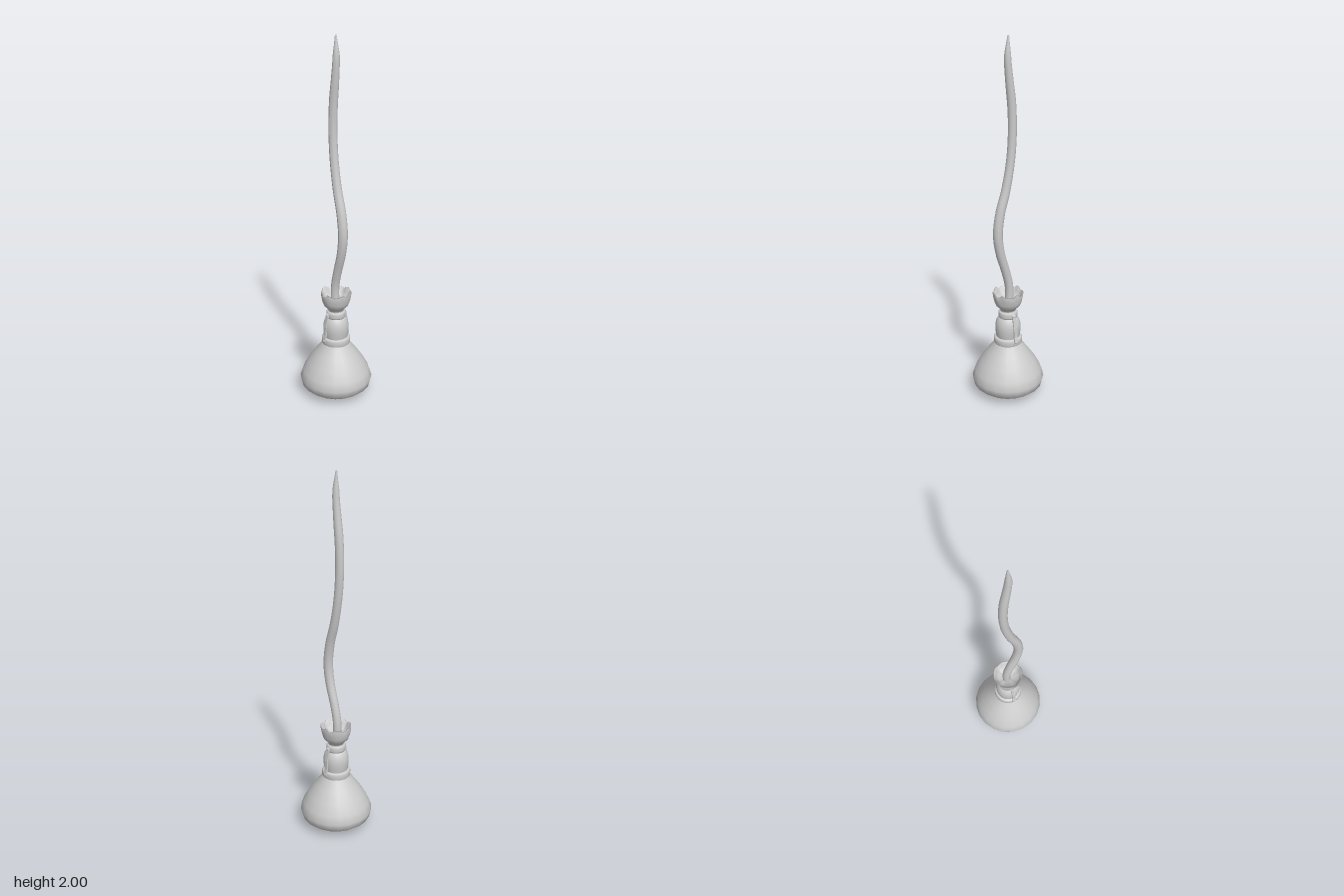
import * as THREE from 'three';

const material = new THREE.MeshStandardMaterial({ color: 0xcccccc, side: THREE.DoubleSide });
const CENTRE = -0.004;

function addMesh(parent, name, geometry) {
  const mesh = new THREE.Mesh(geometry, material);
  mesh.name = name;
  parent.add(mesh);
  return mesh;
}

function lathe(points, sides) {
  return new THREE.LatheGeometry(points.map(([r, y]) => new THREE.Vector2(r, y)), sides);
}

// Round handle swept along a wavy line, narrowing to a blunt tip
function handleGeometry() {
  const path = new THREE.CatmullRomCurve3([
    [-0.008, 0.5], [-0.012, 0.64], [0.014, 0.75], [0.045, 0.85], [0.06, 0.96], [0.045, 1.08],
    [0.01, 1.2], [-0.019, 1.35], [-0.031, 1.5], [-0.027, 1.65], [-0.012, 1.78], [-0.002, 1.89], [-0.006, 2],
  ].map(([x, y]) => new THREE.Vector3(x, y, 0)));
  const steps = 48, sides = 12;
  const geometry = new THREE.TubeGeometry(path, steps, 1, sides);
  const position = geometry.attributes.position;
  const v = new THREE.Vector3();
  for (let i = 0; i <= steps; i++) {
    const centre = path.getPointAt(i / steps);
    const y = centre.y;
    let radius = 0.023 + 0.003 * Math.exp(-(((y - 1) / 0.2) ** 2));
    if (y > 1.7) radius = THREE.MathUtils.lerp(0.023, 0.018, Math.min(1, (y - 1.7) / 0.2));
    if (y > 1.9) radius = THREE.MathUtils.lerp(0.018, 0.004, (y - 1.9) / 0.1);
    for (let j = 0; j <= sides; j++) {
      const k = i * (sides + 1) + j;
      v.fromBufferAttribute(position, k).sub(centre).multiplyScalar(radius).add(centre);
      position.setXYZ(k, v.x, v.y, v.z);
    }
  }
  geometry.computeVertexNormals();
  return geometry;
}

// Flared cup of bristle ends with a ragged rim
function cupGeometry() {
  const geometry = lathe([
    [0.042, 0.51], [0.05, 0.523], [0.067, 0.54], [0.075, 0.56], [0.08, 0.585], [0.084, 0.612],
    [0.079, 0.615], [0.07, 0.592], [0.055, 0.572], [0.02, 0.56], [0, 0.558],
  ], 36);
  const position = geometry.attributes.position;
  for (let i = 0; i < position.count; i++) {
    const x = position.getX(i), y = position.getY(i), z = position.getZ(i);
    const a = Math.atan2(z, x);
    const amount = THREE.MathUtils.smoothstep(y, 0.555, 0.612);
    const wave = Math.sin(5 * a + 0.6) + 0.6 * Math.sin(9 * a + 2);
    const scale = 1 + amount * 0.025 * wave;
    position.setXYZ(i, x * scale, y + amount * (0.006 * Math.sin(7 * a) + 0.004 * Math.sin(11 * a + 1)), z * scale);
  }
  geometry.computeVertexNormals();
  return geometry;
}

// Thin bent strap, drawn side-on and extruded across its width
function strapGeometry() {
  const outer = [[0.052, 0.497], [0.062, 0.485], [0.067, 0.46], [0.075, 0.42], [0.077, 0.37], [0.083, 0.345], [0.081, 0.325]];
  const inner = outer.map(([r, y]) => [r - 0.009, y]).reverse();
  const shape = new THREE.Shape([...outer, ...inner].map(([r, y]) => new THREE.Vector2(r, y)));
  const geometry = new THREE.ExtrudeGeometry(shape, { depth: 0.02, bevelEnabled: false });
  return geometry.translate(0, 0, -0.01).rotateY(-Math.PI / 2);
}

export function createModel() {
  const model = new THREE.Group();
  model.name = 'broom';

  addMesh(model, 'handle', handleGeometry());

  const head = new THREE.Group();
  head.name = 'head';
  head.position.x = CENTRE;
  model.add(head);

  // Bristle bundle with a rounded underside
  addMesh(head, 'bristles', lathe([
    [0, 0.005], [0.06, 0.007], [0.11, 0.018], [0.16, 0.036], [0.19, 0.06], [0.2, 0.1],
    [0.185, 0.145], [0.155, 0.2], [0.115, 0.258], [0.085, 0.297], [0.068, 0.325],
  ], 20));

  // Binding between bristles and cup
  addMesh(head, 'lowerBand', lathe([
    [0.06, 0.308], [0.073, 0.308], [0.079, 0.316], [0.079, 0.341], [0.074, 0.349], [0.06, 0.352],
  ], 28));
  addMesh(head, 'bulb', lathe([
    [0.064, 0.345], [0.067, 0.365], [0.07, 0.39], [0.07, 0.418], [0.064, 0.445], [0.053, 0.463], [0.042, 0.472],
  ], 28));
  addMesh(head, 'upperBand', lathe([
    [0.04, 0.464], [0.05, 0.467], [0.053, 0.475], [0.053, 0.495], [0.049, 0.503], [0.04, 0.505],
  ], 28));
  addMesh(head, 'neck', lathe([[0.042, 0.46], [0.042, 0.525]], 24));
  addMesh(head, 'cup', cupGeometry());

  // Matching straps and rivets on front and back
  for (const turn of [0, Math.PI]) {
    const clasp = new THREE.Group();
    clasp.name = turn ? 'backClasp' : 'frontClasp';
    clasp.rotation.y = turn;
    head.add(clasp);
    addMesh(clasp, 'strap', strapGeometry());
    for (const [y, z] of [[0.337, 0.082], [0.486, 0.06]]) {
      const rivet = addMesh(clasp, 'rivet', new THREE.SphereGeometry(0.008, 10, 8));
      rivet.position.set(0, y, z);
      rivet.scale.z = 0.6;
    }
  }
  return model;
}
